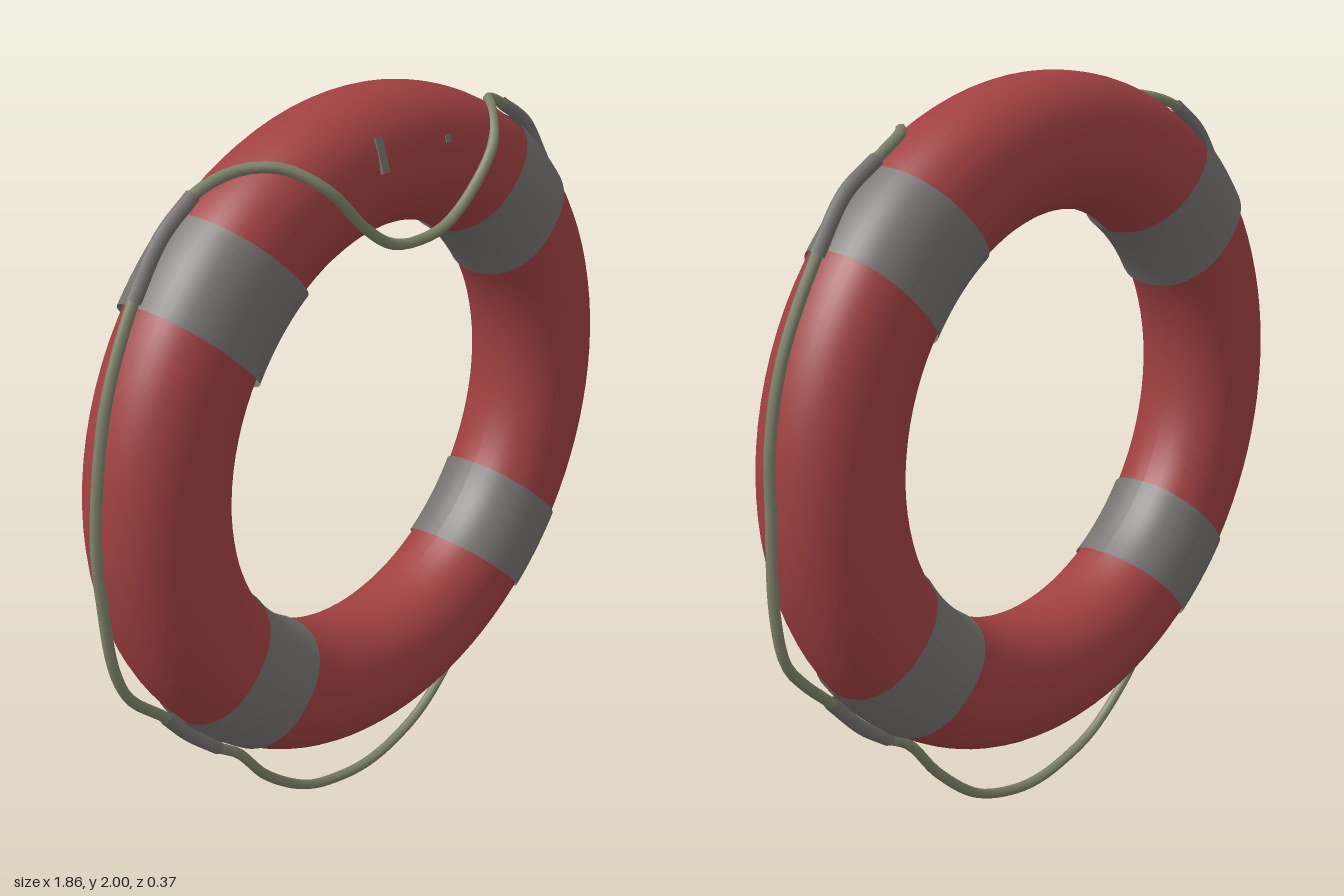
import * as THREE from 'three';

const RING_Y = 1.1, RING_Z = -0.015, MAJOR = 0.727;

const red = new THREE.MeshStandardMaterial({ color: 0xa04041 });
red.name = 'red shell';
const grey = new THREE.MeshStandardMaterial({ color: 0x757270, side: THREE.DoubleSide });
grey.name = 'grey tape';
const ropeGreen = new THREE.MeshStandardMaterial({ color: 0x7e8268 });
ropeGreen.name = 'rope green';

// Slightly squared oval cross-section, starting and ending on the inner side
function section(grow, count = 48) {
  const bend = (v) => Math.sign(v) * Math.pow(Math.abs(v), 2 / 2.25);
  const points = [];
  for (let i = 0; i <= count; i++) {
    const a = -Math.PI + (i / count) * Math.PI * 2;
    points.push(new THREE.Vector2(
      MAJOR + (0.173 + grow) * bend(Math.cos(a)),
      (0.16 + grow) * bend(Math.sin(a))));
  }
  return points;
}

function addMesh(parent, name, geometry, material) {
  const mesh = new THREE.Mesh(geometry, material);
  mesh.name = name;
  parent.add(mesh);
  return mesh;
}

// Tape wrapped round the ring at phi = 0, with parallel edges
function bandGeometry(width, grow) {
  const span = 0.3;
  const geometry = new THREE.LatheGeometry(section(grow), 10, -span / 2, span);
  const p = geometry.attributes.position;
  for (let i = 0; i < p.count; i++) {
    const r = Math.hypot(p.getX(i), p.getZ(i));
    const t = Math.atan2(p.getX(i), p.getZ(i)) / (span / 2);
    const phi = Math.asin((t * width / 2) / r);
    p.setX(i, r * Math.sin(phi));
    p.setZ(i, r * Math.cos(phi));
  }
  geometry.computeVertexNormals();
  return geometry.rotateX(Math.PI / 2); // now centred on -y
}

function tube(points, radius, closed) {
  const curve = new THREE.CatmullRomCurve3(
    points.map(([x, y, z = RING_Z]) => new THREE.Vector3(x, y, z)), closed, 'centripetal');
  return new THREE.TubeGeometry(curve, closed ? 200 : 16, radius, 8, closed);
}

export function createModel() {
  const model = new THREE.Group();
  model.name = 'lifebuoy';

  // Ring and its four tape bands
  const buoy = new THREE.Group();
  buoy.name = 'buoy';
  buoy.position.set(0, RING_Y, RING_Z);
  model.add(buoy);
  addMesh(buoy, 'ring', new THREE.LatheGeometry(section(0), 96).rotateX(Math.PI / 2), red);
  ['upperLeftBand', 'upperRightBand', 'lowerRightBand', 'lowerLeftBand'].forEach((name, i) => {
    const band = addMesh(buoy, name, bandGeometry(0.242, i === 1 ? 0.012 : 0.006), grey);
    band.rotation.z = THREE.MathUtils.degToRad(46.6 + 90 * i + 90);
  });

  // Grab rope: draped over the front at the top, hanging loose at the bottom
  const rope = [
    [0, 1.65, 0.165], [0.1, 1.665, 0.165], [0.2, 1.73, 0.165], [0.3, 1.825, 0.15],
    [0.38, 1.89, 0.08], [0.45, 1.893, 0.015], [0.55, 1.855], [0.65, 1.79],
    [0.74, 1.665], [0.85, 1.46], [0.9, 1.27], [0.91, 1.1],
    [0.915, 0.85], [0.89, 0.71], [0.84, 0.64], [0.76, 0.56],
    [0.66, 0.45], [0.57, 0.38], [0.5, 0.335], [0.4, 0.21], [0.25, 0.08],
    [0.1, 0.025], [0, 0.014], [-0.1, 0.026], [-0.24, 0.07], [-0.4, 0.19],
    [-0.5, 0.315], [-0.57, 0.37], [-0.67, 0.465], [-0.74, 0.55],
    [-0.85, 0.66], [-0.89, 0.76], [-0.91, 0.95], [-0.915, 1.1],
    [-0.89, 1.3], [-0.85, 1.46], [-0.76, 1.655], [-0.67, 1.78], [-0.57, 1.855],
    [-0.46, 1.893, 0.015], [-0.38, 1.893, 0.08], [-0.3, 1.835, 0.15],
    [-0.2, 1.73, 0.165], [-0.1, 1.665, 0.165],
  ];
  addMesh(model, 'grabRope', tube(rope, 0.014, true), ropeGreen);

  // Tape sleeves holding the rope against each band
  const sleeves = { upperLeftSleeve: [6, 9], lowerLeftSleeve: [15, 18],
    lowerRightSleeve: [27, 30], upperRightSleeve: [36, 39] };
  for (const [name, [from, to]] of Object.entries(sleeves)) {
    addMesh(model, name, tube(rope.slice(from, to), 0.018, false), grey);
  }

  // Small tape marks on the upper front
  const mark = addMesh(model, 'tapeMark', new THREE.BoxGeometry(0.025, 0.085, 0.009), grey);
  mark.position.set(-0.108, 1.878, 0.137);
  mark.rotation.x = -0.31;
  const dot = addMesh(model, 'tapeDot', new THREE.BoxGeometry(0.018, 0.018, 0.009), grey);
  dot.position.set(0.133, 1.87, 0.138);
  dot.rotation.x = -0.3;

  return model;
}
